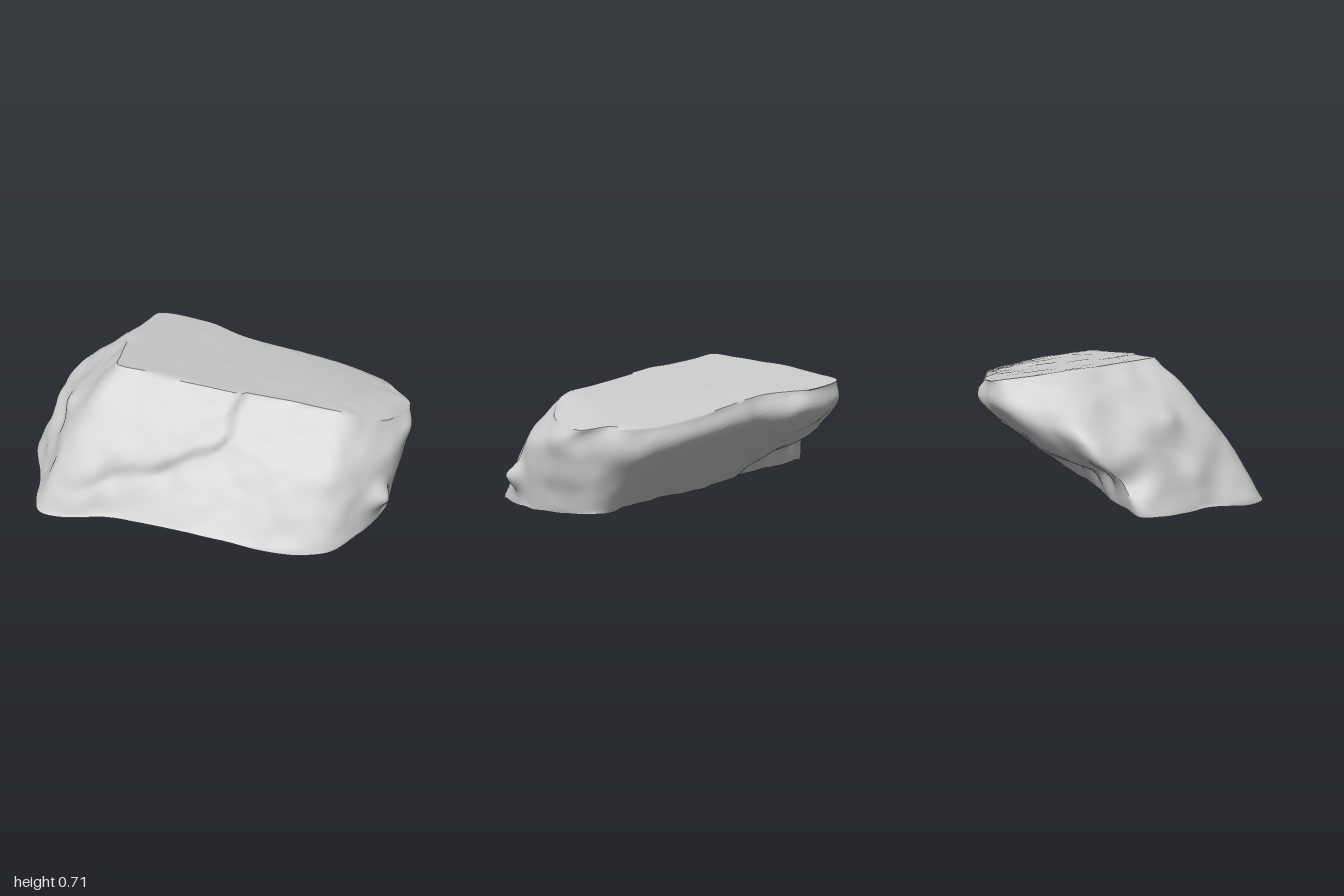
import * as THREE from 'three';
import { toCreasedNormals } from 'three/addons/utils/BufferGeometryUtils.js';

const COLS = 220, CAP_ROWS = 12, WALL_ROWS = 44;

// Three matching outlines, walked from the front corner towards +x
const rim = [ // x, z on the sloping top
  [-.36, .34], [-.22, .25], [0, .11], [.22, -.03], [.45, -.2], [.65, -.33], [.74, -.45], [.78, -.6], [.72, -.82], [.58, -.86],
  [.42, -.9], [.13, -.81], [-.3, -.56], [-.6, -.5], [-.83, -.35], [-.79, -.2], [-.69, -.02], [-.58, .12], [-.46, .25],
];
const waist = [ // x, y, z
  [-.39, .36, .69], [-.2, .36, .61], [.05, .37, .4], [.3, .36, .21], [.54, .36, .06], [.79, .38, -.13], [.87, .4, -.33],
  [.89, .41, -.52], [.8, .42, -.74], [.66, .4, -.85], [.42, .39, -.91], [.1, .42, -.81], [-.28, .45, -.59], [-.6, .46, -.51],
  [-.86, .46, -.28], [-.92, .41, -.01], [-1, .37, .2], [-.88, .36, .37], [-.64, .35, .56],
];
const foot = [ // x, y, z
  [-.39, .01, .91], [-.21, .02, .85], [0, .05, .67], [.4, .05, .43], [.72, .02, .21], [.92, .03, .02], [.95, .06, -.2],
  [.9, .07, -.47], [.77, .08, -.65], [.63, .09, -.8], [.45, .09, -.7], [.23, .08, -.5], [-.06, .06, -.28], [-.36, .06, -.05],
  [-.62, .05, .14], [-.84, .05, .3], [-.96, .03, .45], [-.88, .03, .58], [-.63, .02, .73],
];
// Local hollows (positive depth) and knobs (negative): x, y, z, radius, depth
const dents = [
  [-.95, .17, .38, .1, .05], [-.5, .18, -.05, .1, .07], [-.68, .18, .08, .11, .1], [-.84, .18, .22, .1, .08],
  [-.68, .3, .55, .1, .04], [-.52, .2, .74, .1, .03], [-.75, .45, .25, .1, .03], [.94, .22, -.38, .06, -.08],
  [.84, .5, -.55, .1, .02], [-.1, .25, .6, .08, .02], [.12, .3, .4, .06, .015], [-.6, .42, .48, .06, -.03],
  [-.37, .57, .48, .12, -.02],
];

const loop = pts => {
  const curve = new THREE.CatmullRomCurve3(pts.map(p => new THREE.Vector3(...p)), true, 'catmullrom', 0.45);
  return Array.from({ length: COLS }, (_, i) => curve.getPoint(i / COLS));
};

// Top slopes down to the back and droops at the back and the +x end
const topY = (x, z) => .674 + .13 * z - .16 * Math.max(0, -z - .4) ** 2 - .35 * Math.max(0, x - .64);

// Smooth value noise in -1..1
const hash = (x, y, z) => {
  const s = Math.sin(x * 127.1 + y * 311.7 + z * 74.7) * 43758.5453;
  return (s - Math.floor(s)) * 2 - 1;
};
function noise(x, y, z) {
  const [i, j, k] = [x, y, z].map(Math.floor);
  const [u, v, w] = [x - i, y - j, z - k].map(t => t * t * (3 - 2 * t));
  const mix = THREE.MathUtils.lerp;
  const edge = (b, c) => mix(hash(i, j + b, k + c), hash(i + 1, j + b, k + c), u);
  return mix(mix(edge(0, 0), edge(1, 0), v), mix(edge(0, 1), edge(1, 1), v), w);
}

// Outward offset of the surface at a point
function relief(p, n) {
  const flat = n.y > .93 ? .3 : 1;
  let d = flat * (.006 * noise(p.x * 4, p.y * 5, p.z * 4) + .006 * noise(p.x * 11, p.y * 11, p.z * 11));
  // rougher left end
  const rough = THREE.MathUtils.smoothstep(-p.x, .4, .7) * flat;
  d += rough * .014 * noise(p.x * 7 + 5, p.y * 9, p.z * 7);
  for (const [x, y, z, r, depth] of dents) {
    const q = (p.x - x) ** 2 + (p.y - y) ** 2 + (p.z - z) ** 2;
    d -= depth * Math.exp(-q / (r * r));
  }
  // raised slab on the upper front face, ending at a wavy crack
  if (n.z > .3 && n.y < .9) {
    const crack = .285 - 1.5 * (p.y - .48) ** 2 + .012 * Math.sin(p.y * 30);
    const side = THREE.MathUtils.smoothstep(crack - p.x, 0, .03);
    const low = THREE.MathUtils.smoothstep(p.y - .38 + .42 * (.29 - p.x) + .02 * Math.sin(p.x * 22), 0, .07);
    d += .02 * side * low * THREE.MathUtils.smoothstep(p.x, -.35, .1);
  }
  return d;
}

function rockGeometry() {
  const top = loop(rim.map(([x, z]) => [x, topY(x, z), z]));
  const mid = loop(waist), base = loop(foot);
  const walls = top.map((p, i) => new THREE.CatmullRomCurve3([p, mid[i], base[i]], false, 'catmullrom', 0.4));
  const rows = [];
  for (let r = 0; r < CAP_ROWS; r++) {
    rows.push(top.map(p => {
      const t = (r + .02) / CAP_ROWS, x = p.x * t, z = -.25 + (p.z + .25) * t;
      return new THREE.Vector3(x, topY(x, z), z);
    }));
  }
  for (let r = 0; r <= WALL_ROWS; r++) rows.push(walls.map(wall => wall.getPoint(r / WALL_ROWS)));
  // short lip turned under at the foot
  rows.push(base.map(p => new THREE.Vector3(p.x * .97, p.y + .005, p.z * .97)));

  const index = [];
  for (let r = 0; r < rows.length - 1; r++) {
    for (let c = 0; c < COLS; c++) {
      const a = r * COLS + c, b = r * COLS + (c + 1) % COLS;
      index.push(a, a + COLS, b, b, a + COLS, b + COLS);
    }
  }
  // close the tiny hole in the middle of the top
  for (let c = 1; c < COLS - 1; c++) index.push(0, c, c + 1);

  const geo = new THREE.BufferGeometry().setFromPoints(rows.flat());
  geo.setIndex(index);
  geo.computeVertexNormals();
  const pos = geo.attributes.position, nor = geo.attributes.normal;
  const p = new THREE.Vector3(), n = new THREE.Vector3();
  for (let i = 0; i < pos.count; i++) {
    p.fromBufferAttribute(pos, i);
    n.fromBufferAttribute(nor, i);
    p.addScaledVector(n, relief(p, n));
    pos.setXYZ(i, p.x, p.y, p.z);
  }

  // centre it and stand it on the ground
  geo.computeBoundingBox();
  const { min, max } = geo.boundingBox;
  geo.translate(-(min.x + max.x) / 2, -min.y, -(min.z + max.z) / 2);
  return toCreasedNormals(geo, .75);
}

export function createModel() {
  const group = new THREE.Group();
  group.name = 'boulder';
  // hollow shell, open underneath
  const rock = new THREE.Mesh(rockGeometry(),
    new THREE.MeshStandardMaterial({ color: 0xcccccc, side: THREE.DoubleSide }));
  rock.name = 'rockShell';
  group.add(rock);
  return group;
}
